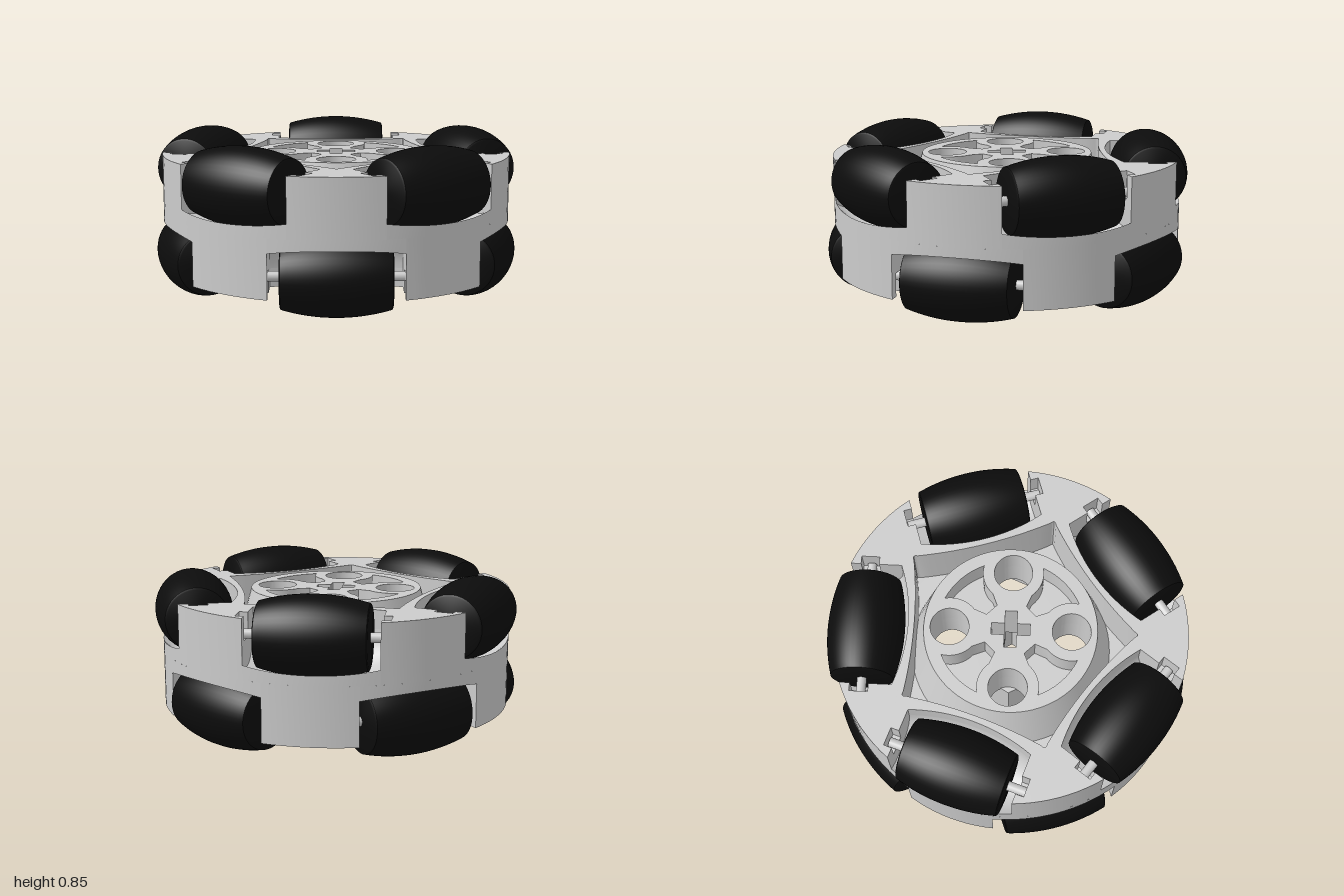
import * as THREE from 'three';
import { toCreasedNormals } from 'three/addons/utils/BufferGeometryUtils.js';
import { ParametricGeometry } from 'three/addons/geometries/ParametricGeometry.js';

const MID = 0.43;        // height of the middle plane
const RIM = 0.96;        // body radius
const HALF = 0.315;      // height of half a body
const AXLE_D = 0.79;     // axle distance from the wheel centre
const AXLE_Y = 0.215;    // axle height above the middle plane
const POCKET = 0.345;    // half width of a roller pocket
const STEP = Math.PI * 2 / 5;

const grey = new THREE.MeshStandardMaterial({ color: 0xcccccc });
const greyBoth = new THREE.MeshStandardMaterial({ color: 0xcccccc, side: THREE.DoubleSide });
const black = new THREE.MeshStandardMaterial({ color: 0x0c0c0c });

const V = (x, y) => new THREE.Vector2(x, y);
const turn = (p, a) => p.clone().rotateAround(V(0, 0), a);
const rollerRadius = t => Math.sqrt(1 - t * t) - AXLE_D;
const pocketRadius = t => rollerRadius(t) + 0.025;
const rimDepth = t => Math.sqrt(RIM * RIM - t * t);

function add(parent, name, geometry, material = grey) {
  const mesh = new THREE.Mesh(geometry, material);
  mesh.name = name;
  parent.add(mesh);
  return mesh;
}

// Extrude a plan shape upwards from y0 to y1 (plan +y becomes -z)
function slab(shape, y0, y1) {
  const g = new THREE.ExtrudeGeometry(shape, { depth: y1 - y0, bevelEnabled: false, curveSegments: 32 });
  g.rotateX(-Math.PI / 2).translate(0, y0, 0);
  return toCreasedNormals(g, 0.5);
}

function circle(x, y, r) {
  return new THREE.Path().absarc(x, y, r, 0, Math.PI * 2, false);
}

// Rim outline with five roller pockets and axle slots
function ringShape() {
  const half = [V(POCKET, rimDepth(POCKET)), V(POCKET, 0.84), V(0.39, 0.84), V(0.39, 0.74), V(POCKET, 0.74)];
  const notch = [...half];
  for (let i = 0; i <= 16; i++) {
    const t = POCKET * (1 - i / 8);
    notch.push(V(t, AXLE_D - pocketRadius(t)));
  }
  notch.push(...half.map(p => V(-p.x, p.y)).reverse());

  const edge = Math.atan2(POCKET, rimDepth(POCKET));
  const outline = [];
  for (let k = 0; k < 5; k++) {
    outline.push(...notch.map(p => turn(p, k * STEP)));
    for (let i = 1; i < 10; i++) {
      const a = Math.PI / 2 + k * STEP + edge + (STEP - 2 * edge) * i / 10;
      outline.push(V(RIM * Math.cos(a), RIM * Math.sin(a)));
    }
  }
  const shape = new THREE.Shape(outline);

  // five-pointed opening with concave sides and rounded corners
  const star = [];
  for (let k = 0; k < 5; k++) {
    for (let i = 0; i <= 12; i++) {
      const t = 0.38 * (1 - i / 6);
      star.push(turn(V(t, 0.522 + 0.2 * t * t), k * STEP));
    }
    const a = star[star.length - 1];
    const b = turn(V(0.38, 0.551), (k + 1) * STEP);
    const tip = turn(V(0, 0.7), (k + 0.5) * STEP);
    star.push(...new THREE.QuadraticBezierCurve(a, tip, b).getPoints(6).slice(1, -1));
  }
  shape.holes.push(new THREE.Path(star));
  return shape;
}

// Curved floor of a pocket, following the roller, with its strip of rim
function cradleGeometry() {
  const rows = 14;
  const g = new ParametricGeometry((u, v, out) => {
    const t = (u * 2 - 1) * POCKET;
    const d0 = rimDepth(t), r = pocketRadius(t);
    const j = Math.round(v * rows);
    if (j === 0) { out.set(t, 0, -d0); return; }
    const a0 = Math.acos((d0 - AXLE_D) / r);
    const a = a0 + (Math.PI - a0) * (j - 1) / (rows - 1);
    out.set(t, Math.max(0.003, AXLE_Y - r * Math.sin(a)), -(AXLE_D + r * Math.cos(a)));
  }, 16, rows);
  return toCreasedNormals(g.toNonIndexed(), 0.6);
}

// Barrel roller lying along x
function rollerGeometry() {
  const L = 0.285, pts = [V(0, -L), V(rollerRadius(L) - 0.008, -L)];
  for (let i = 0; i <= 20; i++) {
    const t = (i / 10 - 1) * (L - 0.005);
    pts.push(V(rollerRadius(t), t));
  }
  pts.push(V(rollerRadius(L) - 0.008, L), V(0, L));
  return toCreasedNormals(new THREE.LatheGeometry(pts, 48).rotateZ(-Math.PI / 2), 0.6);
}

// One half of the wheel: ring, pockets, axles and rollers
function wheelHalf(name) {
  const half = new THREE.Group();
  half.name = name;
  add(half, 'rimBody', slab(ringShape(), 0, HALF));
  const cradle = cradleGeometry(), roller = rollerGeometry();
  const axle = new THREE.CylinderGeometry(0.026, 0.026, 0.77, 20).rotateZ(Math.PI / 2);
  const seat = new THREE.BoxGeometry(0.045, 0.19, 0.1);
  for (let k = 0; k < 5; k++) {
    const unit = new THREE.Group();
    unit.name = 'rollerUnit';
    unit.rotation.y = k * STEP;
    add(unit, 'pocketFloor', cradle, greyBoth);
    add(unit, 'roller', roller, black).position.set(0, AXLE_Y, -AXLE_D);
    add(unit, 'axle', axle).position.set(0, AXLE_Y, -AXLE_D);
    for (const s of [-1, 1]) add(unit, 'axleSeat', seat).position.set(s * 0.3675, 0.095, -AXLE_D);
    half.add(unit);
  }
  return half;
}

// Cross-shaped axle hole
function crossPath() {
  const w = 0.033, l = 0.105, pts = [];
  for (let k = 0; k < 4; k++) {
    for (const p of [V(w, w), V(w, l), V(-w, l)]) pts.push(turn(p, k * Math.PI / 2));
  }
  return new THREE.Path(pts);
}

// Blind recess between two round holes, in quadrant k
function recessPath(k) {
  const pts = [], side = [];
  for (let i = 0; i <= 8; i++) {
    const a = THREE.MathUtils.degToRad(24 + 42 * i / 8);
    pts.push(V(0.4 * Math.cos(a), 0.4 * Math.sin(a)));
  }
  for (let i = 1; i <= 8; i++) {
    const a = THREE.MathUtils.degToRad(12 - 62 * i / 8);
    side.push(V(0.167 * Math.cos(a), 0.33 + 0.167 * Math.sin(a)));
  }
  side.push(V(0.08, 0.135));
  pts.push(...side, ...side.map(p => V(p.y, p.x)).reverse());
  return new THREE.Path(pts.map(p => turn(p, k * Math.PI / 2)));
}

// Disc with four round holes and, if asked, the cross and the recesses
function discShape(r, recesses) {
  const shape = new THREE.Shape().absarc(0, 0, r, 0, Math.PI * 2, false);
  for (let k = 0; k < 4; k++) {
    const c = turn(V(0.33, 0), k * Math.PI / 2);
    shape.holes.push(circle(c.x, c.y, 0.105));
    if (recesses) shape.holes.push(recessPath(k));
  }
  shape.holes.push(crossPath());
  return shape;
}

function hexPoints(r) {
  return Array.from({ length: 6 }, (_, i) => turn(V(r, 0), i * Math.PI / 3));
}

export function createModel() {
  const model = new THREE.Group();
  model.name = 'omniWheel';

  const upper = wheelHalf('upperHalf');
  upper.position.y = MID;
  const lower = wheelHalf('lowerHalf');
  lower.position.y = MID;
  lower.rotation.x = Math.PI;
  model.add(upper, lower);

  // hub: web, drum with flared side, and hexagonal boss below
  const hub = new THREE.Group();
  hub.name = 'hub';
  add(hub, 'web', slab(discShape(0.7, false), MID - 0.012, MID + 0.012));
  add(hub, 'drumBase', slab(discShape(0.47, false), MID, 0.6));
  add(hub, 'drumTop', slab(discShape(0.47, true), 0.6, 0.745));
  add(hub, 'drumFlare', new THREE.LatheGeometry([V(0.555, MID + 0.012), V(0.47, 0.745)], 64), greyBoth);
  const hex = new THREE.Shape(hexPoints(0.26));
  hex.holes.push(new THREE.Path(hexPoints(0.15)));
  add(hub, 'hexBoss', slab(hex, 0.1, MID));
  model.add(hub);
  return model;
}
